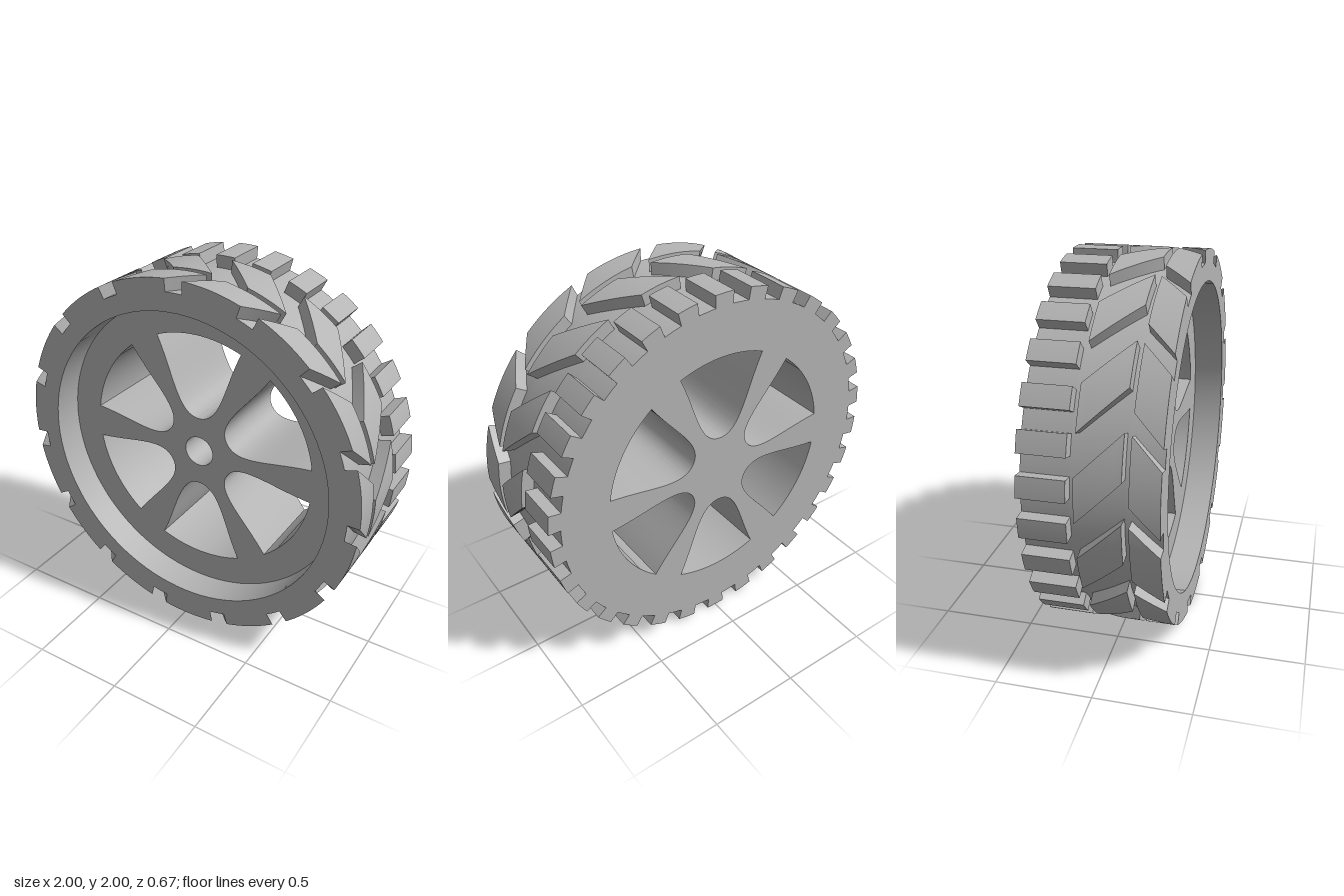
import * as THREE from 'three';
import { toCreasedNormals } from 'three/addons/utils/BufferGeometryUtils.js';

const DEG = Math.PI / 180;
const BACK = -0.333, FRONT = 0.333;   // side faces of the tyre
const HUB_FRONT = 0.165;              // face of the spokes, set back from the rim
const R = 1, FLOOR = 0.935, RIM = 0.835;

// Extrude a shape between two depths; twist (degrees) skews it along z.
function slab(shape, z0, z1, segments, twist = 0) {
  const geo = new THREE.ExtrudeGeometry(shape, {
    depth: z1 - z0, steps: twist ? 6 : 1, curveSegments: segments, bevelEnabled: false,
  });
  const p = geo.attributes.position;
  for (let i = 0; i < p.count; i++) {
    const z = p.getZ(i);
    const a = twist * DEG * z / (z1 - z0);
    const x = p.getX(i), y = p.getY(i);
    p.setXYZ(i, x * Math.cos(a) - y * Math.sin(a), x * Math.sin(a) + y * Math.cos(a), z + z0);
  }
  return toCreasedNormals(geo, 30 * DEG);
}

function circle(r, type = THREE.Shape) {
  const c = new type();
  c.absarc(0, 0, r, 0, Math.PI * 2, false);
  return c;
}

// Flared opening between two spokes, centred on the given angle.
function spokeWindow(angle) {
  const turn = (x, y) => {
    const v = new THREE.Vector2(x, y).rotateAround(new THREE.Vector2(), angle - Math.PI / 2);
    return [v.x, v.y];
  };
  const half = 21.8 * DEG, r = 0.668;
  const cx = r * Math.sin(half), cy = r * Math.cos(half);
  const w = new THREE.Path();
  w.moveTo(...turn(-cx, cy));
  w.bezierCurveTo(...turn(-0.15, 0.41), ...turn(-0.13, 0.2), ...turn(0, 0.2));
  w.bezierCurveTo(...turn(0.13, 0.2), ...turn(0.15, 0.41), ...turn(cx, cy));
  w.absarc(0, 0, r, angle - half, angle + half, false);
  return w;
}

// Ring sector used as the outline of a tread block.
function sector(a0, a1) {
  const s = new THREE.Shape();
  s.absarc(0, 0, R, a0 * DEG, a1 * DEG, false);
  s.absarc(0, 0, 0.92, a1 * DEG, a0 * DEG, true);
  s.closePath();
  return s;
}

export function createModel() {
  const grey = new THREE.MeshStandardMaterial({ color: 0xb4b4b4 });
  grey.name = 'grey';
  const wheel = new THREE.Group();
  wheel.name = 'wheel';
  const add = (name, geo, parent = wheel) => {
    const m = new THREE.Mesh(geo, grey);
    m.name = name;
    parent.add(m);
    return m;
  };

  // Wheel body: a closed back layer and a front layer with the axle hole
  const backDisc = circle(FLOOR), frontDisc = circle(FLOOR);
  for (let i = 0; i < 6; i++) {
    const a = (30 + i * 60) * DEG;
    backDisc.holes.push(spokeWindow(a));
    frontDisc.holes.push(spokeWindow(a));
  }
  frontDisc.holes.push(circle(0.085, THREE.Path));
  add('backSpokes', slab(backDisc, BACK, -0.1, 48));
  add('frontSpokes', slab(frontDisc, -0.1, HUB_FRONT, 48));

  // Raised rim around the front recess
  const rim = circle(FLOOR);
  rim.holes.push(circle(RIM, THREE.Path));
  add('rim', slab(rim, HUB_FRONT, FRONT, 48));

  // Tread rows: count, start and end angle at the rear edge, depth range, skew
  const rows = [
    ['backTread', 30, 2.9, 9.1, BACK, -0.098, 0],
    ['middleTread', 15, 1.9, 14.6, -0.062, 0.157, -12.5],
    ['frontTread', 15, -10, 8.3, 0.19, FRONT, 8.3],
  ];
  for (const [name, count, a0, a1, z0, z1, twist] of rows) {
    const row = new THREE.Group();
    row.name = name;
    const geo = slab(sector(a0, a1), z0, z1, 5, twist);
    for (let i = 0; i < count; i++) {
      add(name + 'Block', geo, row).rotation.z = i * 2 * Math.PI / count;
    }
    wheel.add(row);
  }

  wheel.position.y = R;
  const model = new THREE.Group();
  model.name = 'model';
  model.add(wheel);
  return model;
}
